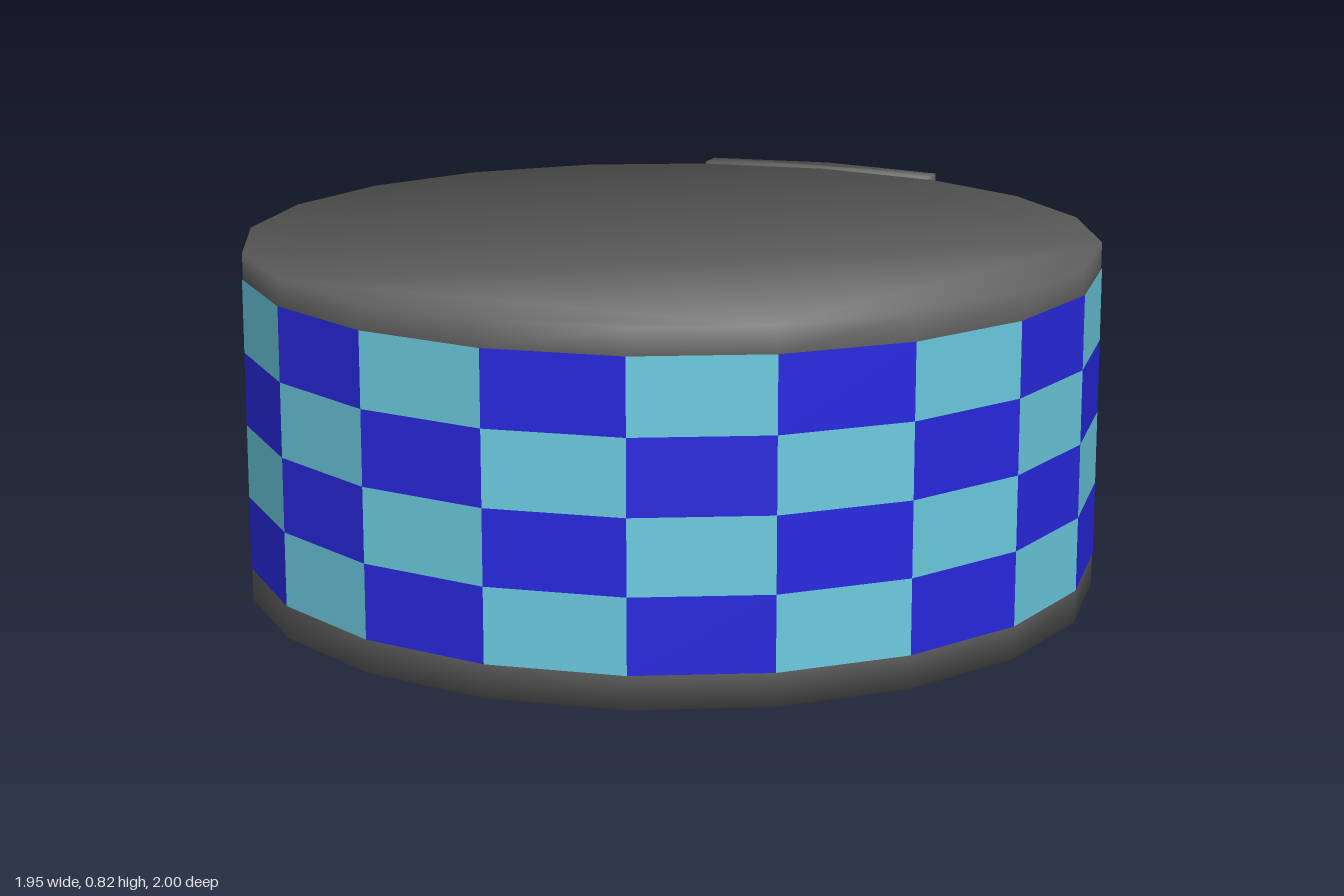
import * as THREE from 'three';
import { mergeGeometries } from 'three/addons/utils/BufferGeometryUtils.js';

const SIDES = 20, RADIUS = 0.983, CENTRE_Z = 0.025;
const STEP = (Math.PI * 2) / SIDES;
const ROWS = 4, BAND_BOTTOM = 0.08, BAND_TOP = 0.755;

// Upright prism with softly shaded rims. points: [x, z] counter-clockwise from above; heights: bottom to top
function softPrism(points, heights) {
  const n = points.length, last = heights.length - 1;
  const edgeNormal = (i) => {
    const [ax, az] = points[(i + n) % n], [bx, bz] = points[(i + 1) % n];
    return new THREE.Vector2(az - bz, bx - ax).normalize();
  };
  const position = [], normal = [], index = [];
  heights.forEach((y, r) => points.forEach(([x, z], i) => {
    const out = edgeNormal(i - 1 + n).add(edgeNormal(i)).normalize();
    const tilt = r === 0 ? -1 : r === last ? 1 : 0;
    const v = new THREE.Vector3(out.x, tilt, out.y).normalize();
    position.push(x, y, z);
    normal.push(v.x, v.y, v.z);
  }));
  for (let r = 0; r < last; r++) {
    for (let i = 0; i < n; i++) {
      const a = r * n + i, b = r * n + ((i + 1) % n);
      index.push(a, b, b + n, a, b + n, a + n);
    }
  }
  const outline = points.map(([x, z]) => new THREE.Vector2(x, -z));
  for (const [a, b, c] of THREE.ShapeUtils.triangulateShape(outline, [])) {
    index.push(c, b, a, last * n + a, last * n + b, last * n + c);
  }
  const geometry = new THREE.BufferGeometry();
  geometry.setAttribute('position', new THREE.Float32BufferAttribute(position, 3));
  geometry.setAttribute('normal', new THREE.Float32BufferAttribute(normal, 3));
  geometry.setIndex(index);
  return geometry;
}

// All checker cells of one parity, as flat panels facing outwards
function checkerCells(parity) {
  const h = (BAND_TOP - BAND_BOTTOM) / ROWS;
  const apothem = RADIUS * Math.cos(STEP / 2) + 0.002;
  const cells = [];
  for (let k = 0; k < SIDES; k++) {
    for (let row = 0; row < ROWS; row++) {
      if ((k + row) % 2 !== parity) continue;
      const cell = new THREE.PlaneGeometry(2 * apothem * Math.tan(STEP / 2), h);
      cell.translate(0, BAND_BOTTOM + (row + 0.5) * h, apothem);
      cell.rotateY(k * STEP);
      cell.translate(0, 0, CENTRE_Z);
      cells.push(cell);
    }
  }
  return mergeGeometries(cells);
}

export function createModel() {
  const group = new THREE.Group();
  const add = (name, geometry, color) => {
    const mesh = new THREE.Mesh(geometry, new THREE.MeshStandardMaterial({ color }));
    mesh.name = name;
    group.add(mesh);
  };

  // Twenty-sided drum
  const ring = Array.from({ length: SIDES }, (_, k) => {
    const a = (k + 0.5) * STEP;
    return [RADIUS * Math.sin(a), CENTRE_Z + RADIUS * Math.cos(a)];
  });
  add('drumBody', softPrism(ring, [0.005, BAND_BOTTOM, BAND_TOP, 0.814]), 0x606060);

  // Checkered band around the side
  add('blueCheckers', checkerCells(0), 0x2828e0);
  add('cyanCheckers', checkerCells(1), 0x6ccbe0);

  // Raised clasp over two facets at the back
  const clasp = [
    [0.145, -1], [-0.165, -1], [-0.457, -0.907],
    [-0.445, -0.845], [-0.15, -0.94], [0.155, -0.94],
  ];
  add('backClasp', softPrism(clasp, [0, BAND_BOTTOM, BAND_TOP, 0.82]), 0x606060);

  return group;
}
